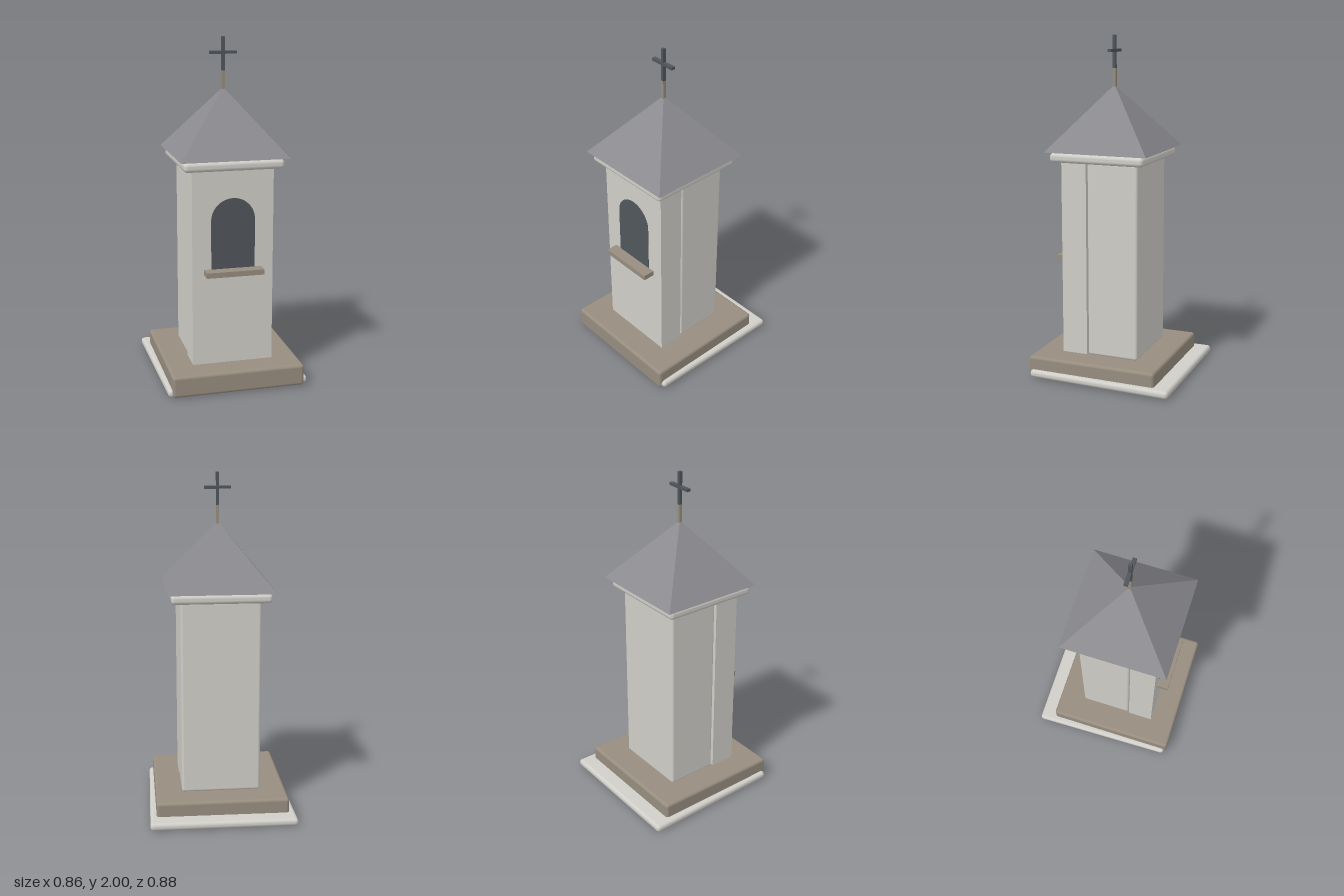
import * as THREE from 'three';
import { RoundedBoxGeometry } from 'three/addons/geometries/RoundedBoxGeometry.js';

const material = (name, color, extra = {}) => {
  const m = new THREE.MeshStandardMaterial({ color, ...extra });
  m.name = name;
  return m;
};

export function createModel() {
  const plaster = material('pale plaster', 0xd0cec8);
  const stone = material('tan stone', 0x978d7f);
  const slate = material('grey slate', 0x8c8b90);
  const iron = material('dark iron', 0x50565b);
  slate.flatShading = true;

  const model = new THREE.Group();
  model.name = 'waysideShrine';

  const add = (name, geometry, mat) => {
    const mesh = new THREE.Mesh(geometry, mat);
    mesh.name = name;
    model.add(mesh);
    return mesh;
  };
  // Boxes are given by their extents; a radius rounds the edges
  const box = (name, mat, [x0, x1], [y0, y1], [z0, z1], radius = 0) => {
    const size = [x1 - x0, y1 - y0, z1 - z0];
    const geometry = radius
      ? new RoundedBoxGeometry(...size, 3, radius)
      : new THREE.BoxGeometry(...size);
    geometry.translate((x0 + x1) / 2, (y0 + y1) / 2, (z0 + z1) / 2);
    return add(name, geometry, mat);
  };

  // Foundation slab, slightly narrower at the front and a touch out of level
  const slab = box('foundationSlab', plaster, [-0.43, 0.43], [0.005, 0.05], [-0.44, 0.425], 0.02);
  const p = slab.geometry.attributes.position;
  for (let i = 0; i < p.count; i++) {
    const x = p.getX(i), z = p.getZ(i);
    p.setXYZ(i, x * (0.98 - 0.045 * z), p.getY(i) + 0.005 * (x + z), z);
  }

  // Stone plinth
  box('plinth', stone, [-0.39, 0.39], [0.005, 0.132], [-0.345, 0.44], 0.018);

  // Body: crisp front block and softer rear block with a seam between
  box('frontBlock', plaster, [-0.24, 0.235], [0.12, 1.285], [0.131, 0.285]);
  box('rearBlock', plaster, [-0.235, 0.232], [0.13, 1.285], [-0.185, 0.125], 0.015);

  // Arched niche as a thin plate on the front
  const arch = new THREE.Shape();
  arch.moveTo(-0.13, 0.7);
  arch.lineTo(0.126, 0.7);
  arch.lineTo(0.126, 0.988);
  arch.absarc(-0.002, 0.988, 0.128, 0, Math.PI, false);
  arch.closePath();
  const niche = new THREE.ExtrudeGeometry(arch, { depth: 0.006, bevelEnabled: false, curveSegments: 20 });
  add('niche', niche, iron).position.z = 0.281;

  // Sill under the niche
  box('sill', stone, [-0.172, 0.166], [0.674, 0.705], [0.28, 0.355]);

  // Cornice
  box('cornice', plaster, [-0.292, 0.285], [1.28, 1.335], [-0.235, 0.34], 0.022);

  // Pyramid roof
  const roof = new THREE.ConeGeometry(0.312 * Math.SQRT2, 0.375, 4);
  roof.rotateY(Math.PI / 4);
  add('roof', roof, slate).position.set(-0.002, 1.5275, 0.048);

  // Cross on a stone foot
  box('crossFoot', stone, [-0.01, 0.007], [1.69, 1.81], [0.038, 0.058]);
  box('crossPost', iron, [-0.01, 0.007], [1.81, 2.0], [0.038, 0.058]);
  box('crossArm', iron, [-0.08, 0.076], [1.903, 1.92], [0.037, 0.059]);

  return model;
}
